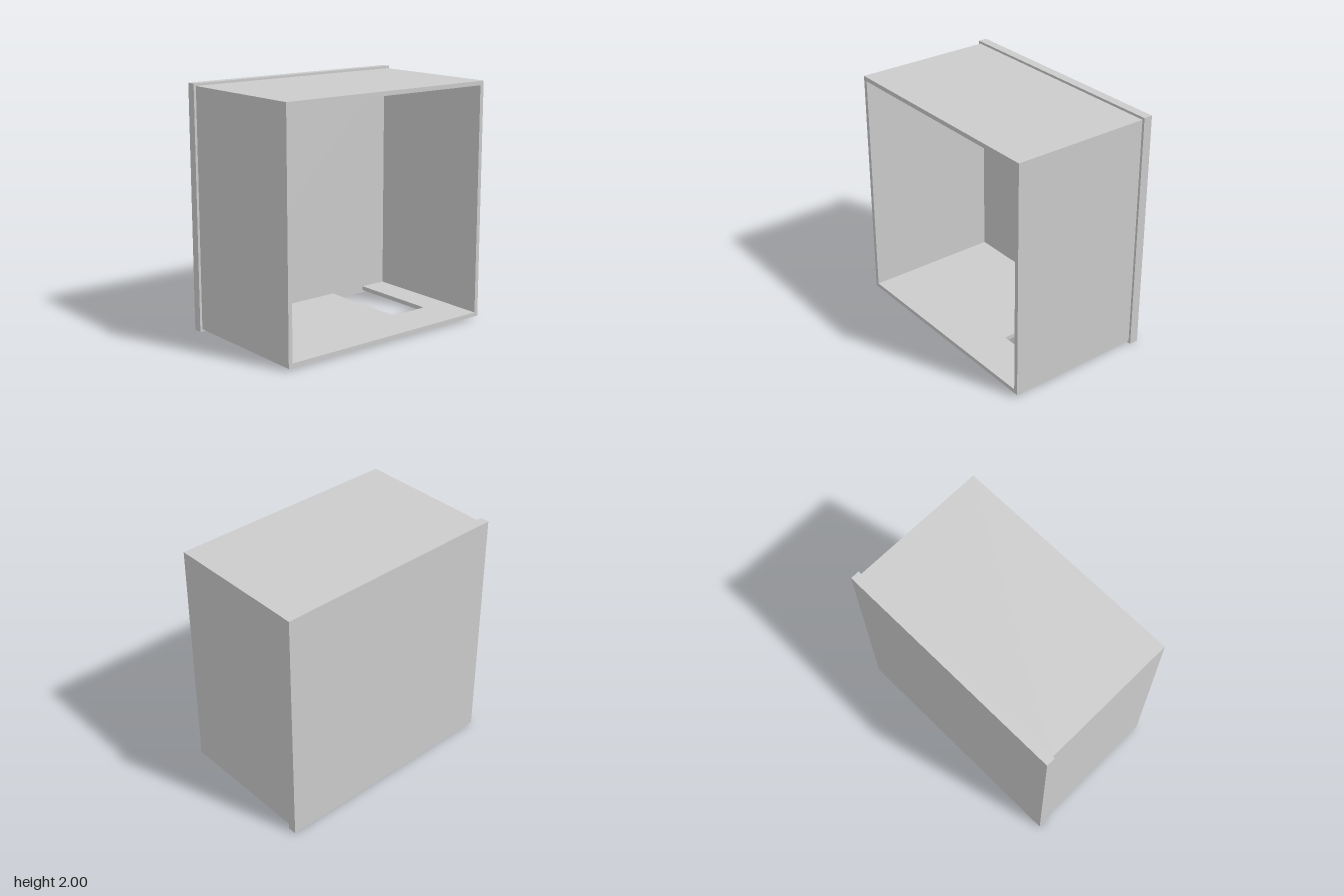
import * as THREE from 'three';

const OUT = 0.98, IN = 0.945;          // outer and inner half sizes of the shell
const FRONT = 0.615, SEAT = -0.54, BACK = -0.615;
const CENTRE = 1, WALL = OUT - IN;

const material = new THREE.MeshStandardMaterial({ color: 0xcccccc, flatShading: true });

function shapeOf(points) {
  return new THREE.Shape(points.map(([x, y]) => new THREE.Vector2(x, y)));
}

function part(name, geometry) {
  const mesh = new THREE.Mesh(geometry, material);
  mesh.name = name;
  return mesh;
}

export function createModel() {
  const group = new THREE.Group();
  group.name = 'openBox';

  // Both side walls and the top in one arch-shaped section
  const arch = shapeOf([
    [-OUT, -OUT], [-IN, -OUT], [-IN, IN], [IN, IN],
    [IN, -OUT], [OUT, -OUT], [OUT, OUT], [-OUT, OUT],
  ]);
  const walls = part('sidesAndTop',
    new THREE.ExtrudeGeometry(arch, { depth: FRONT - SEAT, bevelEnabled: false }));
  walls.position.set(0, CENTRE, SEAT);
  group.add(walls);

  // Floor with a rectangular cutout running up to the back panel
  const cut = { x0: 0.37, x1: 0.71, z: 0.25 };
  const floorShape = shapeOf([
    [-IN, -FRONT], [IN, -FRONT], [IN, -SEAT], [cut.x1, -SEAT],
    [cut.x1, -cut.z], [cut.x0, -cut.z], [cut.x0, -SEAT], [-IN, -SEAT],
  ]);
  const floor = part('floor',
    new THREE.ExtrudeGeometry(floorShape, { depth: WALL, bevelEnabled: false }).rotateX(-Math.PI / 2));
  floor.position.y = CENTRE - OUT;
  group.add(floor);

  // Back panel, slightly larger than the shell
  const panel = part('backPanel', new THREE.BoxGeometry(2, 2, SEAT - BACK));
  panel.position.set(0, CENTRE, (SEAT + BACK) / 2);
  group.add(panel);

  return group;
}
